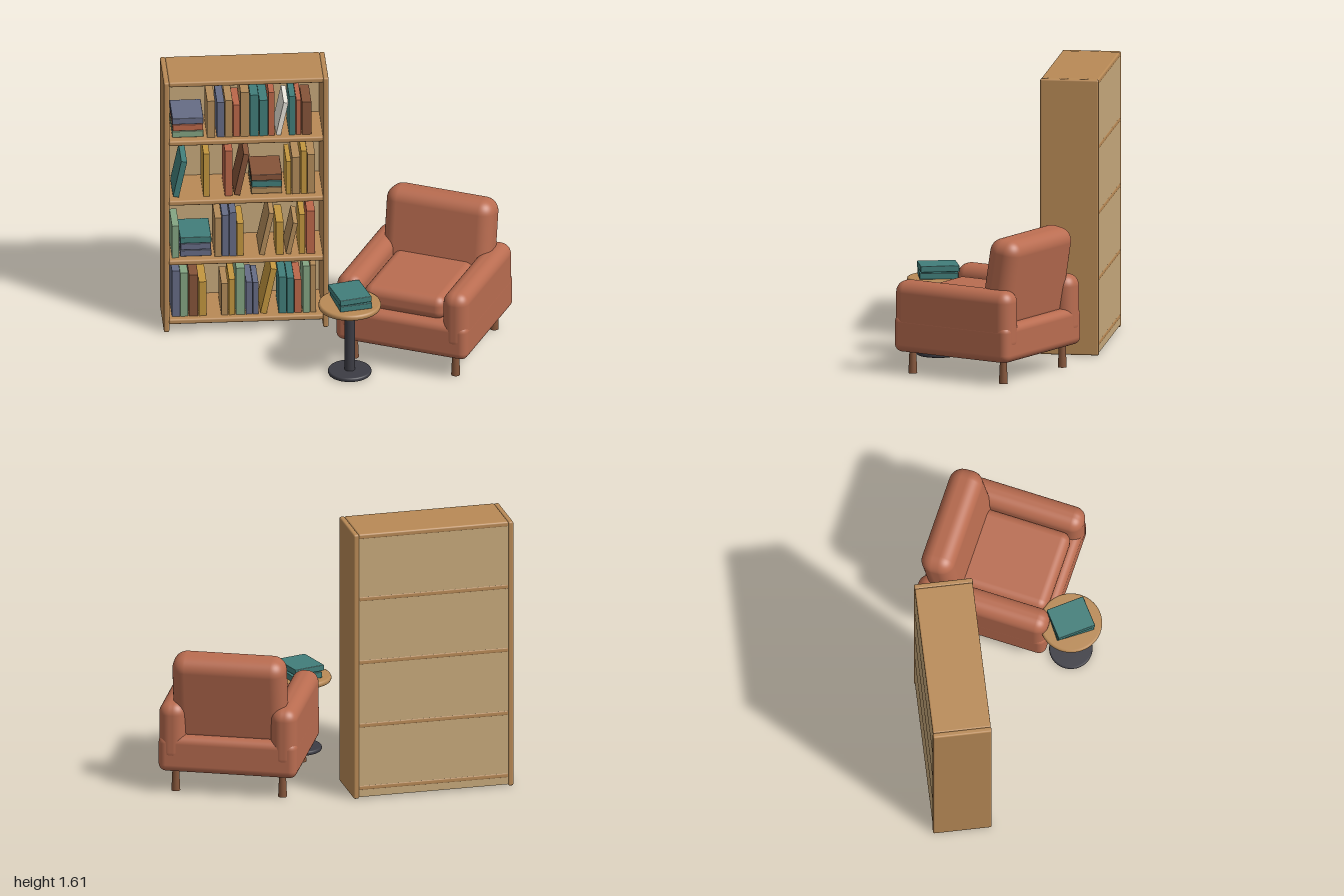
import * as THREE from 'three';
import { RoundedBoxGeometry } from 'three/addons/geometries/RoundedBoxGeometry.js';

const mat = (color, side = THREE.FrontSide) => new THREE.MeshStandardMaterial({ color, side });
const WOOD = mat(0xb98a56), PANEL = mat(0xc8aa7c), LEATHER = mat(0xb96c50);
const LEG = mat(0x84553a), METAL = mat(0x3c3c44);
const COVER = {
  teal: mat(0x417e7a), red: mat(0xbb674a), slate: mat(0x666c85), tan: mat(0xb38c5a),
  ochre: mat(0xc3963f), green: mat(0x84a583), brown: mat(0x855439), white: mat(0xe8e4da),
};

function add(parent, name, geometry, material, x, y, z) {
  const mesh = new THREE.Mesh(geometry, material);
  mesh.name = name;
  mesh.position.set(x, y, z);
  parent.add(mesh);
  return mesh;
}
const rbox = (w, h, d, r, seg = 2) => new RoundedBoxGeometry(w, h, d, seg, r);
const group = (parent, name) => {
  const g = new THREE.Group();
  g.name = name;
  parent.add(g);
  return g;
};

// Shelf rows: floor height, one lying stack, and upright books as
// [cover, centre from the left edge, width, height, leaning] in hundredths
const ROWS = [
  { floor: 1.23, stack: [14.2, ['green', 'red', 'slate']], books: [
    ['tan', 27.5, 4.5, 23.5], ['slate', 33, 4.3, 22.5], ['tan', 37.7, 4.3, 23.5], ['red', 42.2, 3.8, 20.5],
    ['tan', 47, 5, 28.5], ['teal', 52.4, 4.8, 26.5], ['teal', 57.8, 4.8, 23], ['red', 62.3, 3.4, 28],
    ['white', 68.5, 2.8, 21, 1], ['teal', 74.3, 3.6, 25], ['red', 78, 2.8, 22.5], ['brown', 82.6, 5.4, 21]] },
  { floor: 0.85, stack: [59.6, ['tan', 'teal', 'brown']], books: [
    ['teal', 9.6, 3.4, 23, 1], ['ochre', 24.9, 3.5, 27.5], ['red', 37.7, 4.5, 29], ['brown', 45.2, 3.4, 26.5, 1],
    ['ochre', 72.2, 2.8, 21], ['tan', 76.5, 4.6, 23.5], ['ochre', 81, 3.4, 27.5], ['tan', 85.3, 4.4, 25]] },
  { floor: 0.46, stack: [18.7, ['slate', 'slate', 'teal']], books: [
    ['green', 7, 4, 20.5], ['tan', 31.6, 4, 25], ['slate', 35.8, 4, 26.5], ['slate', 40.1, 3.8, 28],
    ['ochre', 44.4, 3.8, 21], ['tan', 59.6, 3, 27, 1], ['ochre', 67.1, 4.4, 21], ['tan', 74.1, 2.8, 20, 1],
    ['ochre', 80, 3.4, 25.5], ['red', 85, 4.8, 27.5]] },
  { floor: 0.08, books: [
    ['slate', 7.2, 4.5, 29.5], ['green', 12, 4.5, 28], ['brown', 17.4, 5.2, 26.5], ['ochre', 22.7, 4.4, 22],
    ['tan', 35.3, 3.8, 20.5], ['ochre', 39.6, 3.6, 23], ['green', 44.4, 5, 30], ['slate', 49.5, 3.6, 21],
    ['slate', 53.2, 3.2, 20.5], ['ochre', 60.7, 3.6, 29, 1], ['teal', 68.7, 4.4, 23.5], ['teal', 73.3, 4, 22.5],
    ['red', 77.5, 4, 21.5], ['green', 82.4, 4, 30], ['tan', 86.4, 3.4, 30.5]] },
];

function buildBookcase(root) {
  const g = group(root, 'bookcase');
  const cx = -0.525, cz = -0.38, depth = 0.34;
  for (const s of [-1, 1]) add(g, 'sidePanel', rbox(0.032, 1.61, depth, 0.01), WOOD, cx + s * 0.459, 0.805, cz);
  for (const y of [0.065, 0.445, 0.83, 1.215, 1.595])
    add(g, 'shelf', rbox(0.892, 0.032, depth - 0.004, 0.01), WOOD, cx, y, cz);
  add(g, 'backPanel', new THREE.BoxGeometry(0.89, 1.59, 0.01), PANEL, cx, 0.805, -0.541);

  for (const { floor, stack, books } of ROWS) {
    const row = group(g, 'bookRow');
    for (const [cover, x, w, h, lean] of books) {
      const H = h / 100, d = 0.17 + H * 0.25, a = lean ? 0.21 : 0;
      const book = add(row, 'book', new THREE.BoxGeometry(w / 100, H, d), COVER[cover],
        -1 + x / 100, floor + (H * Math.cos(a) + w / 100 * Math.sin(a)) / 2, -0.25 - d / 2);
      book.rotation.z = -a;
    }
    if (stack) stack[1].forEach((cover, i) => add(row, 'lyingBook', rbox(0.18 - (i % 2) * 0.005, 0.039, 0.24, 0.004, 1),
      COVER[cover], -1 + stack[0] / 100, floor + 0.021 + i * 0.042, -0.38));
  }
}

function buildArmchair(root) {
  const g = group(root, 'armchair');
  g.position.set(0.485, 0, 0.02);
  g.rotation.y = -THREE.MathUtils.degToRad(25);
  add(g, 'seatBase', rbox(0.81, 0.22, 0.785, 0.045, 4), LEATHER, 0, 0.24, 0);
  add(g, 'seatCushion', rbox(0.5, 0.145, 0.6, 0.055, 5), LEATHER, 0, 0.413, 0.05);
  for (const s of [-1, 1]) add(g, 'arm', rbox(0.155, 0.36, 0.79, 0.068, 6), LEATHER, s * 0.327, 0.365, 0);
  const back = add(g, 'backrest', rbox(0.66, 0.54, 0.2, 0.08, 6), LEATHER, 0, 0.565, -0.265);
  back.rotation.x = -0.16;
  // Four legs at the corners
  for (const x of [-0.312, 0.312]) for (const z of [-0.31, 0.31])
    add(g, 'chairLeg', new THREE.CylinderGeometry(0.019, 0.026, 0.15, 16), LEG, x, 0.075, z);
}

function buildTable(root) {
  const g = group(root, 'sideTable');
  g.position.set(0.03, 0, 0.37);
  // Disc with a softened rim
  const disc = (r, h, b) => new THREE.LatheGeometry(
    [[0, 0], [r - b, 0], [r - b * 0.3, b * 0.3], [r, b], [r, h - b], [r - b * 0.3, h - b * 0.3], [r - b, h], [0, h]]
      .map(([x, y]) => new THREE.Vector2(x, y)), 40);
  add(g, 'tableTop', disc(0.18, 0.034, 0.012), WOOD, 0, 0.422, 0);
  add(g, 'post', new THREE.CylinderGeometry(0.03, 0.03, 0.41, 24), METAL, 0, 0.22, 0);
  add(g, 'foot', disc(0.125, 0.025, 0.008), METAL, 0, 0, 0);
  // Two books lying on the table
  [[0.475, 0.2], [0.515, 0.26]].forEach(([y, turn], i) => {
    const book = add(g, 'tableBook', rbox(0.19, 0.036, 0.225, 0.004, 1), COVER.teal, i ? 0 : 0.008, y, 0);
    book.rotation.y = turn;
  });
}

export function createModel() {
  const root = new THREE.Group();
  root.name = 'readingCorner';
  buildBookcase(root);
  buildArmchair(root);
  buildTable(root);
  return root;
}
